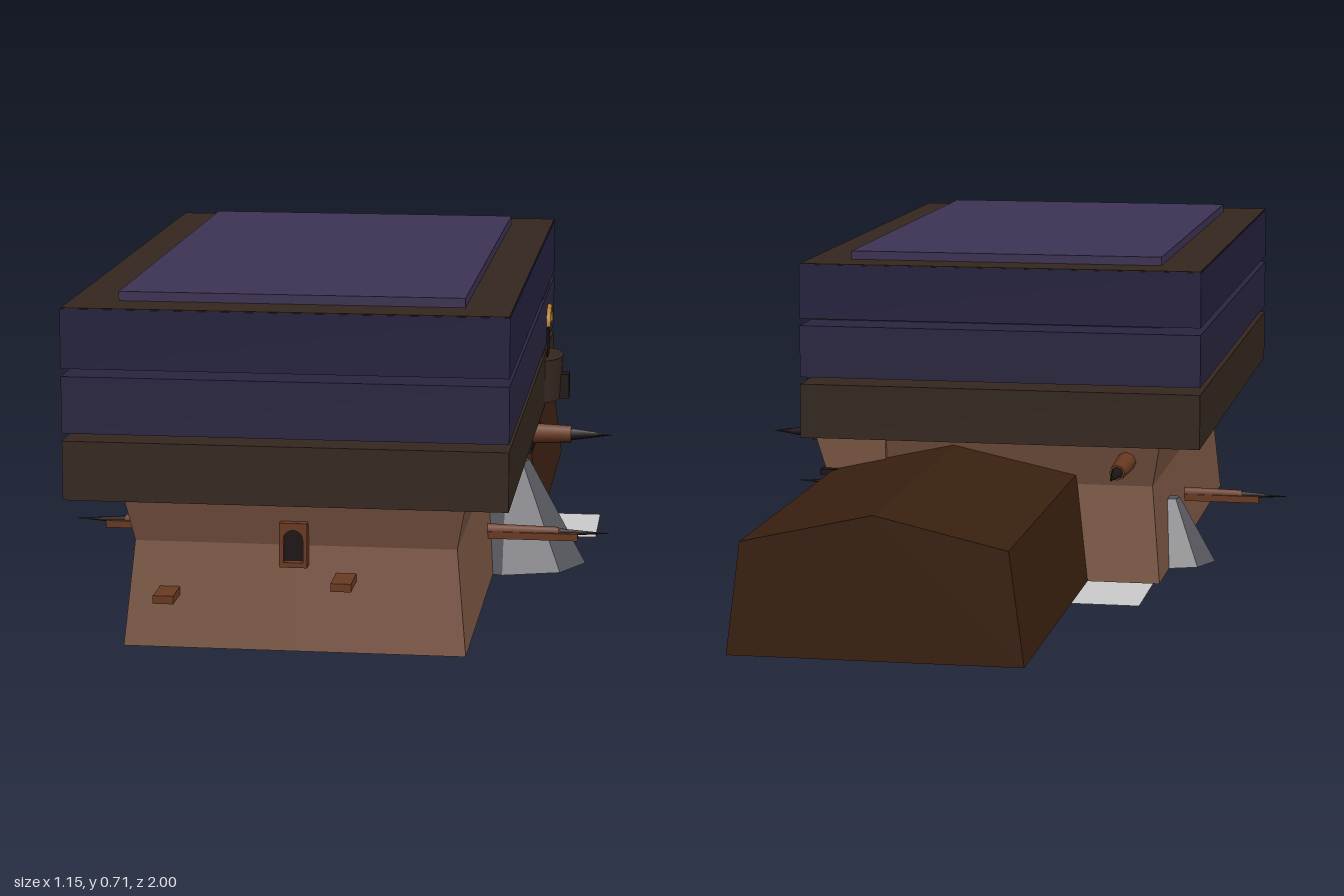
import * as THREE from 'three';

const mat = (color, extra = {}) => new THREE.MeshStandardMaterial({ color, ...extra });
const flat = { flatShading: true };
const M = {
  navy: mat(0x24213f), indigo: mat(0x2a2540), brown: mat(0x35271f), roof: mat(0x3d3254),
  stone: mat(0x7a5542, flat), timber: mat(0x3a2010, flat), rock: mat(0x55555c, flat),
  dark: mat(0x1c1513), rust: mat(0x6a3a22), gold: mat(0xb07a28),
  plain: mat(0xcccccc, { side: THREE.DoubleSide }),
};

export function createModel() {
  const model = new THREE.Group();

  const add = (name, geometry, material, x = 0, y = 0, z = 0) => {
    const mesh = new THREE.Mesh(geometry, material);
    mesh.name = name;
    mesh.position.set(x, y, z);
    model.add(mesh);
    return mesh;
  };
  // Box given by its minimum and maximum corners
  const block = (name, material, [x0, y0, z0], [x1, y1, z1], seg = 1) =>
    add(name, new THREE.BoxGeometry(x1 - x0, y1 - y0, z1 - z0, seg, seg, seg), material,
      (x0 + x1) / 2, (y0 + y1) / 2, (z0 + z1) / 2);

  // Lower hall, pinched at the waist
  const hall = block('lowerHall', M.stone, [-0.345, 0.015, -0.23], [0.325, 0.325, 0.905], 2);
  const p = hall.geometry.attributes.position;
  for (let i = 0; i < p.count; i++) {
    if (Math.abs(p.getY(i)) > 0.01) continue;
    p.setXYZ(i, p.getX(i) * 0.94, 0.05, p.getZ(i) * 0.95);
  }
  hall.geometry.computeVertexNormals();

  // Upper storeys: recessed core, three overhanging bands and a roof slab
  block('upperCore', M.indigo, [-0.345, 0.31, -0.23], [0.32, 0.69, 0.905]);
  const bands = [[0.325, 0.44, M.brown], [0.455, 0.565, M.indigo], [0.58, 0.695, M.navy]];
  for (const [y0, y1, material] of bands)
    block('storeyBand', material, [-0.44, y0, -0.33], [0.412, y1, 1]);
  block('bandSpacer', M.brown, [-0.39, 0.435, -0.23], [0.39, 0.46, 0.92]);
  block('roofRim', M.brown, [-0.438, 0.69, -0.328], [0.41, 0.697, 0.998]);
  block('roofSlab', M.roof, [-0.345, 0.69, -0.235], [0.32, 0.715, 0.905]);

  // Side turret with its flared foot
  block('turret', M.brown, [0.31, 0.31, -0.23], [0.408, 0.69, 0]);
  const foot = block('turretFoot', M.stone, [0.25, 0.015, -0.23], [0.41, 0.33, 0.02], 2);
  const f = foot.geometry.attributes.position;
  for (let i = 0; i < f.count; i++)
    if (f.getX(i) > 0.05 && f.getY(i) < 0.1) f.setX(i, f.getY(i) < -0.1 ? 0.045 : 0.03);
  foot.geometry.computeVertexNormals();
  block('footBeam', M.dark, [0.34, 0.23, -0.25], [0.39, 0.243, 0.04]);

  // Arched door and balcony on the turret
  const arch = new THREE.Shape();
  arch.moveTo(-0.035, 0).lineTo(0.035, 0).lineTo(0.035, 0.07);
  arch.absarc(0, 0.07, 0.035, 0, Math.PI, false);
  const archGeometry = new THREE.ExtrudeGeometry(arch, { depth: 0.006, bevelEnabled: false });
  add('archDoor', archGeometry, M.dark, 0.409, 0.425, -0.105).rotation.y = Math.PI / 2;
  add('archTrim', new THREE.TorusGeometry(0.038, 0.007, 6, 16, Math.PI), M.gold,
    0.415, 0.495, -0.105).rotation.y = Math.PI / 2;
  const balcony = add('balcony', new THREE.CylinderGeometry(0.085, 0.075, 0.095, 12, 1, false, 0, Math.PI),
    M.brown, 0.405, 0.378, -0.105);
  balcony.scale.x = 0.5;
  block('balconyLamp', M.dark, [0.43, 0.33, -0.125], [0.462, 0.385, -0.085]);

  // Long rear wing with a low gabled section
  const gable = new THREE.Shape([[-0.19, 0.015], [0.395, 0.015], [0.365, 0.24], [0.1025, 0.3], [-0.16, 0.24]]
    .map(([x, y]) => new THREE.Vector2(x, y)));
  add('rearWing', new THREE.ExtrudeGeometry(gable, { depth: 0.8, bevelEnabled: false }), M.timber, 0, 0, -1);

  // Flat pad beneath the rear corner
  add('groundPad', new THREE.PlaneGeometry(0.845, 0.225), M.plain, 0.1, 0, -0.268).rotation.x = -Math.PI / 2;

  // Rocky buttresses leaning on both sides
  const rock = (x, z, rx, rz, h, top) => {
    const r = add('buttress', new THREE.CylinderGeometry(top, 1, h, 8), M.rock, x, 0.015 + h / 2, z);
    r.scale.set(rx, 1, rz);
  };
  rock(0.345, 0.14, 0.17, 0.13, 0.225, 0.28);
  rock(-0.33, 0.02, 0.105, 0.1, 0.14, 0.25);

  // Spikes: a short socket carrying a slim cone, pointing along a direction
  const spike = (base, dir, length, radius) => {
    const g = new THREE.Group();
    g.name = 'spike';
    const socket = new THREE.Mesh(new THREE.CylinderGeometry(radius * 0.75, radius, length * 0.6, 8), M.rust);
    socket.name = 'spikeSocket';
    socket.position.y = length * 0.3;
    const tip = new THREE.Mesh(new THREE.ConeGeometry(radius * 0.7, length * 0.5, 8), M.dark);
    tip.name = 'spikeTip';
    tip.position.y = length * 0.75;
    g.add(socket, tip);
    g.position.set(...base);
    g.quaternion.setFromUnitVectors(new THREE.Vector3(0, 1, 0), new THREE.Vector3(...dir));
    model.add(g);
  };
  for (const s of [-1, 1]) {
    spike([s * 0.3, 0.115, 0.278], [s, 0, 0], 0.275, 0.015);
    const x = s * 0.4;
    block('spikeBracket', M.rust, [x - 0.105, 0.1, 0.262], [x + 0.105, 0.115, 0.294]);
  }
  spike([0.34, 0.275, 0.03], [1, 0, 0], 0.225, 0.025);
  spike([-0.27, 0.275, -0.2], [0, 0, -1], 0.25, 0.022);

  // Front window: frame with an arched opening over a dark pane
  const frame = new THREE.Shape([[-0.027, 0], [0.027, 0], [0.027, 0.088], [-0.027, 0.088]]
    .map(([x, y]) => new THREE.Vector2(x, y)));
  const hole = new THREE.Path();
  hole.moveTo(-0.019, 0.01).lineTo(0.019, 0.01).lineTo(0.019, 0.055);
  hole.absarc(0, 0.055, 0.019, 0, Math.PI, false);
  frame.holes.push(hole);
  add('windowFrame', new THREE.ExtrudeGeometry(frame, { depth: 0.04, bevelEnabled: false }), M.rust, -0.01, 0.182, 0.868);
  block('windowPane', M.dark, [-0.03, 0.19, 0.85], [0.01, 0.26, 0.89]);

  // Small pegs on the front wall
  for (const [x, y] of [[0.09, 0.16], [-0.255, 0.125]])
    block('wallPeg', M.rust, [x - 0.02, y - 0.008, 0.86], [x + 0.02, y + 0.008, 0.965]);

  return model;
}
